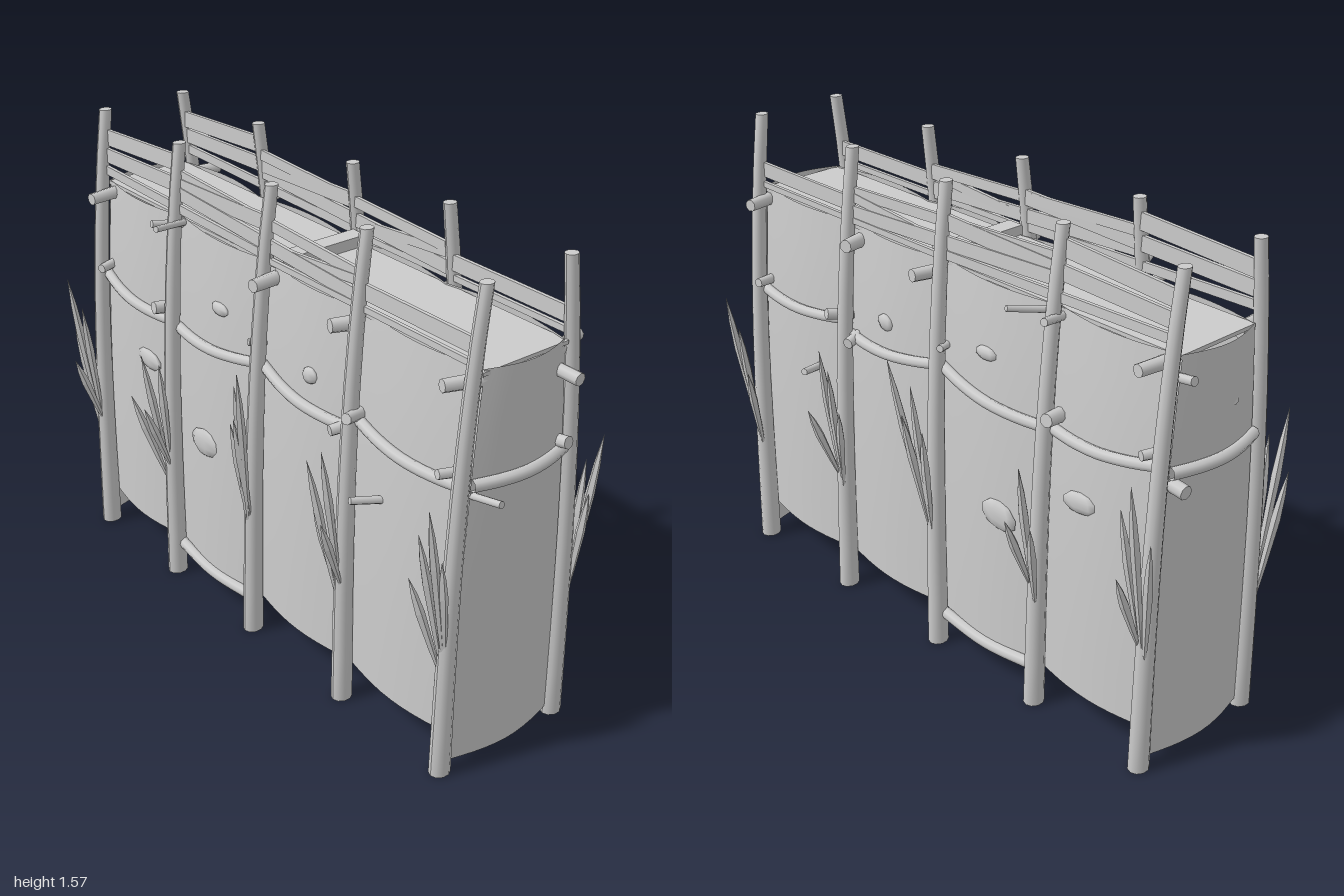
import * as THREE from 'three';

const mat = new THREE.MeshStandardMaterial({ color: 0xcccccc });
const flat = new THREE.MeshStandardMaterial({ color: 0xcccccc, flatShading: true });
const sheet = new THREE.MeshStandardMaterial({ color: 0xcccccc, side: THREE.DoubleSide });
const V = (x, y, z) => new THREE.Vector3(x, y, z);
const lerp = THREE.MathUtils.lerp;

// Posts: x at the foot and at the top
const FEET = [-0.94, -0.5, -0.05, 0.42, 0.88];
const TOPS = [-0.935, -0.5, -0.02, 0.415, 0.89];
const HEIGHT = 1.57, WALL_TOP = 1.32;
const postX = (i, y) => lerp(FEET[i], TOPS[i], y / HEIGHT);

// Inward lean of the posts with height
function postZ(y) {
  const t = y / HEIGHT;
  return 0.235 - 0.012 * t - 0.068 * t ** 3;
}

// Wall surface: follows the posts and bulges between them
const wallZ = (t, y) => postZ(y) - 0.034 + 0.03 * Math.sin(Math.PI * t);
function wallZAt(x, y) {
  let i = 0;
  while (i < 3 && x > postX(i + 1, y)) i++;
  const a = postX(i, y), b = postX(i + 1, y);
  return wallZ((x - a) / (b - a), y);
}

function add(group, name, geo, material = mat) {
  const m = new THREE.Mesh(geo, material);
  m.name = name;
  group.add(m);
  return m;
}

// Point a y-aligned geometry (centred) from a to b
function between(mesh, a, b) {
  mesh.position.copy(a).add(b).multiplyScalar(0.5);
  mesh.quaternion.setFromUnitVectors(V(0, 1, 0), b.clone().sub(a).normalize());
  return mesh;
}

function stick(group, name, a, b, r0, r1 = r0) {
  return between(add(group, name, new THREE.CylinderGeometry(r1, r0, a.distanceTo(b), 8)), a, b);
}

// Four-sided sharpened stake
function stake(group, a, b, w) {
  const L = a.distanceTo(b);
  const profile = [[0.004, -0.5], [w * 0.7, -0.2], [w, 0.15], [w * 0.7, 0.33], [0.0005, 0.5]]
    .map(([r, y]) => new THREE.Vector2(r, y * L));
  between(add(group, 'stake', new THREE.LatheGeometry(profile, 5), flat), a, b);
}

// Curved sheet from a rule f(u, v) -> point
function surface(f, nu, nv) {
  const g = new THREE.PlaneGeometry(1, 1, nu, nv), p = g.attributes.position;
  for (let i = 0; i < p.count; i++) {
    const q = f(p.getX(i) + 0.5, p.getY(i) + 0.5);
    p.setXYZ(i, q.x, q.y, q.z);
  }
  g.computeVertexNormals();
  return g;
}

function rail(group, name, pts, r) {
  add(group, name, new THREE.TubeGeometry(new THREE.CatmullRomCurve3(pts), 12, r, 8), sheet);
}

// Stubs: x, y of root, x and y of the tip, reach, radius
const STUBS = [
  [-0.9, 1.29, -0.885, 1.29, 0.1, 0.022], [-0.92, 1.03, -0.89, 1.03, 0.06, 0.017],
  [-0.53, 1.0, -0.545, 1.01, 0.07, 0.024], [-0.5, 1.3, -0.43, 1.335, 0.15, 0.011],
  [-0.5, 1.29, -0.53, 1.31, 0.1, 0.014], [-0.03, 1.05, -0.06, 1.06, 0.05, 0.013],
  [0.0, 1.28, 0.02, 1.285, 0.1, 0.023], [0.39, 1.27, 0.36, 1.275, 0.08, 0.024],
  [0.39, 0.95, 0.365, 0.94, 0.06, 0.02], [0.42, 1.0, 0.455, 1.02, 0.08, 0.02],
  [0.88, 1.28, 0.845, 1.285, 0.1, 0.022], [0.86, 1.0, 0.835, 1.01, 0.07, 0.017],
  [0.57, 0.78, 0.53, 0.8, 0.09, 0.013],
];

// Stake tips per post: x, y, z
const TIPS = [
  [[-0.995, 0.82, 0.3], [-0.95, 1.0, 0.34], [-0.9, 0.9, 0.32], [-0.92, 0.7, 0.35]],
  [[-0.575, 0.7, 0.34], [-0.515, 0.87, 0.33], [-0.475, 0.84, 0.29], [-0.48, 0.69, 0.35]],
  [[-0.02, 0.95, 0.31], [0.045, 1.03, 0.345], [-0.06, 0.8, 0.3], [0.0, 0.85, 0.33]],
  [[0.365, 0.87, 0.33], [0.355, 0.71, 0.3], [0.42, 0.92, 0.32], [0.455, 0.7, 0.35]],
  [[0.82, 0.7, 0.33], [0.855, 0.86, 0.33], [0.905, 0.96, 0.34], [0.91, 0.78, 0.29]],
];

// Planks above the wall: x0, centre y0, x1, centre y1, width
const PLANKS = [
  [-0.93, 1.475, -0.5, 1.5, 0.055], [-0.93, 1.415, -0.02, 1.445, 0.05],
  [-0.5, 1.465, 0.42, 1.425, 0.035], [-0.5, 1.405, 0.42, 1.36, 0.045],
  [0.0, 1.375, 0.42, 1.41, 0.03], [0.41, 1.385, 0.88, 1.385, 0.05],
  [-0.93, 1.365, 0.0, 1.345, 0.03], [0.0, 1.335, 0.88, 1.335, 0.02],
];

// Rail heights at both ends of each bay
const RAILS = [[0.995, 0.955], [0.945, 0.985], [0.985, 0.945], [0.99, 0.965]];

// Shards in the wall: x, y, width, height, tilt
const SHARDS = [[-0.32, 0.59, 0.155, 0.1, 0.1], [-0.65, 0.77, 0.14, 0.07, -0.1],
  [-0.24, 1.1, 0.09, 0.045, 0], [0.22, 1.05, 0.07, 0.055, 0.3]];

function buildSide(s) {
  const g = new THREE.Group();
  g.name = s > 0 ? 'frontSide' : 'backSide';
  const P = (x, y, z) => V(x, y, s * z);

  for (let i = 0; i < 5; i++) {
    // Leaning, tapered post
    const geo = new THREE.CylinderGeometry(1, 1, HEIGHT, 10, 10), p = geo.attributes.position;
    for (let k = 0; k < p.count; k++) {
      const y = p.getY(k) + HEIGHT / 2, r = lerp(0.031, 0.019, y / HEIGHT);
      p.setXYZ(k, postX(i, y) + p.getX(k) * r, y, s * postZ(y) + p.getZ(k) * r * 1.15);
    }
    geo.computeVertexNormals();
    add(g, 'post', geo);
    // Stakes at the post
    TIPS[i].forEach(([x, y, z], k) =>
      stake(g, P(postX(i, 0.4) + (k - 1.5) * 0.006, 0.36 + 0.02 * k, 0.245), P(x, y, z), 0.015));
  }

  // Wall panels and rails between posts
  for (let i = 0; i < 4; i++) {
    add(g, 'wallPanel', surface((u, v) => {
      const y = lerp(0.12, WALL_TOP, v);
      return P(lerp(postX(i, y), postX(i + 1, y), u), y, wallZ(u, y));
    }, 10, 10), sheet);
    const [y0, y1] = RAILS[i], pts = [];
    for (let k = 0; k <= 4; k++) {
      const u = k / 4, y = lerp(y0, y1, u) - 0.012 * Math.sin(Math.PI * u);
      pts.push(P(lerp(postX(i, y), postX(i + 1, y), u), y, wallZ(u, y) + 0.012));
    }
    rail(g, 'rail', pts, 0.018);
  }
  rail(g, 'footRail', [P(-0.5, 0.12, 0.22), P(-0.28, 0.105, 0.235), P(-0.05, 0.11, 0.22)], 0.019);

  for (const [x, y, tx, ty, reach, r] of STUBS) {
    const z = wallZAt(x, y);
    stick(g, 'stub', P(x, y, z - 0.03), P(tx, ty, z + reach), r, r * 0.9);
  }

  for (const [x0, y0, x1, y1, w] of PLANKS) {
    const a = P(x0, y0, postZ(y0) - 0.01), b = P(x1, y1, postZ(y1) - 0.01);
    between(add(g, 'plank', new THREE.BoxGeometry(w, a.distanceTo(b), 0.012)), a, b);
  }

  for (const [x, y, w, h, tilt] of SHARDS) {
    const m = add(g, 'shard', new THREE.SphereGeometry(0.5, 7, 5));
    m.scale.set(w, h, 0.03);
    m.rotation.z = tilt;
    m.position.copy(P(x, y, wallZAt(x, y)));
  }
  return g;
}

// Bowed end wall with its rail
function buildEnd(s) {
  const g = new THREE.Group();
  g.name = s > 0 ? 'leftEnd' : 'rightEnd';
  const i = s > 0 ? 4 : 0;
  const endX = (t, y) => postX(i, y) + s * (0.005 + 0.035 * Math.sin(Math.PI * t));
  const at = (t, y, out = 0) => V(endX(t, y) + s * out, y, (1 - 2 * t) * (postZ(y) - 0.034));
  add(g, 'endWall', surface((u, v) => at(u, lerp(0.03, WALL_TOP, v)), 10, 10), sheet);
  rail(g, 'endRail', [0, 0.25, 0.5, 0.75, 1].map(t => at(t, 0.975, 0.005)), 0.02);
  return g;
}

export function createModel() {
  const model = new THREE.Group();
  model.name = 'palisadeWall';
  model.add(buildSide(1), buildSide(-1), buildEnd(1), buildEnd(-1));

  // Walkway and its cross beam
  for (const [x0, x1, hz, y] of [[-0.94, 0, 0.155, 1.312], [0, 0.9, 0.16, 1.308]]) {
    add(model, 'walkway', new THREE.BoxGeometry(x1 - x0, 0.012, hz * 2)).position.set((x0 + x1) / 2, y, 0);
  }
  add(model, 'crossBeam', new THREE.BoxGeometry(0.06, 0.04, 0.32)).position.set(0.01, 1.33, 0);

  // Stubs sticking out of the end walls
  stick(model, 'endStub', V(0.87, 1.235, -0.13), V(0.975, 1.23, -0.135), 0.02);
  stick(model, 'endStub', V(0.87, 1.0, -0.15), V(0.935, 1.01, -0.155), 0.02);
  stick(model, 'endStub', V(0.85, 0.93, 0.17), V(1.0, 0.96, 0.165), 0.011);
  stick(model, 'endStub', V(-0.92, 1.25, -0.15), V(-0.995, 1.265, -0.16), 0.014);
  stick(model, 'endStub', V(-0.92, 1.12, 0.05), V(-0.97, 1.135, 0.05), 0.018);
  stick(model, 'endStub', V(-0.92, 0.935, -0.16), V(-0.995, 0.93, -0.165), 0.022);
  return model;
}
